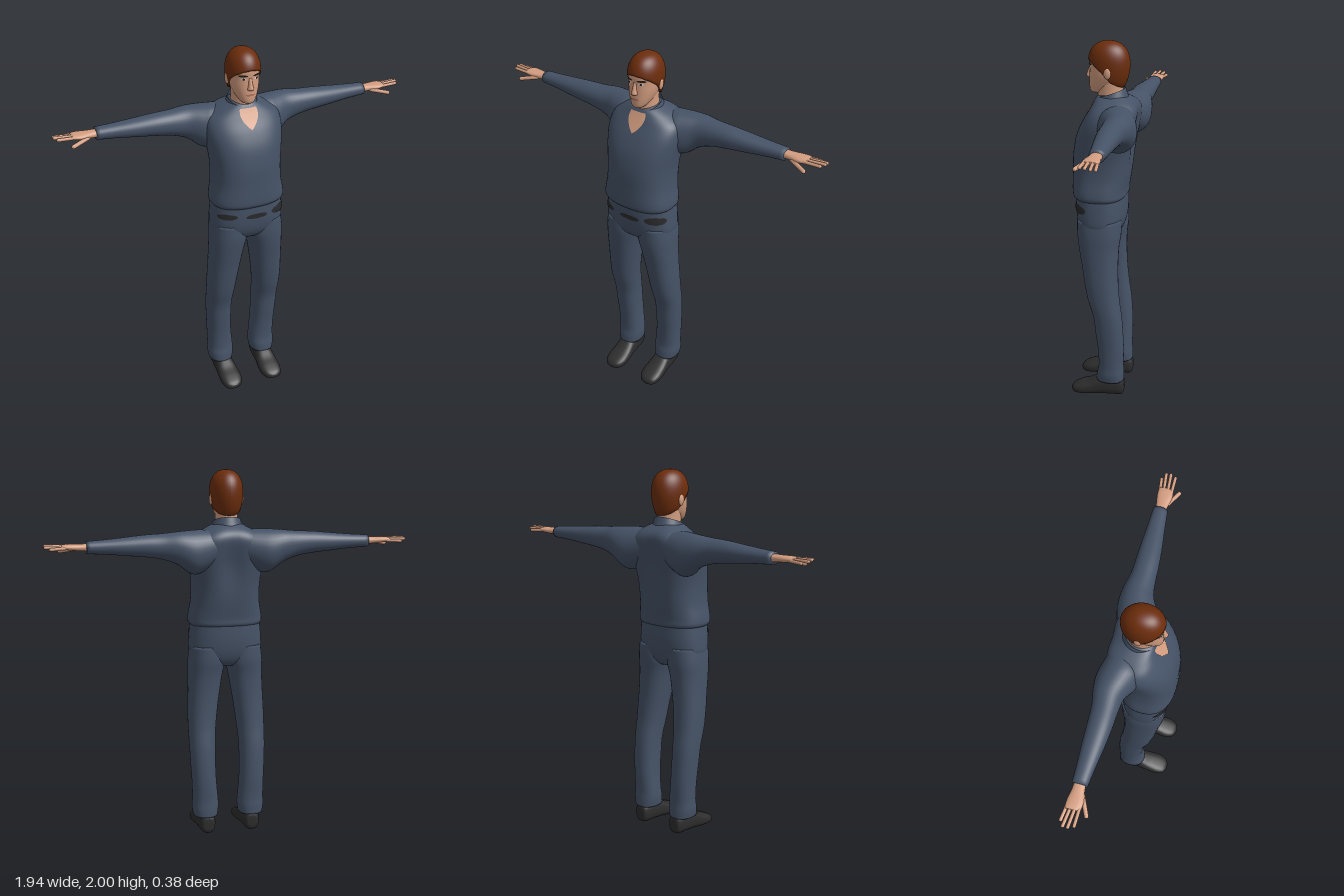
import * as THREE from 'three';

const mat = (name, color) => new THREE.MeshStandardMaterial({ name, color });
const doubled = (m) => { m.side = THREE.DoubleSide; return m; };

// Catmull-Rom refinement of section rows [t, aMin, aMax, bMin, bMax]
function refine(rows, steps = 4) {
  const out = [];
  for (let i = 0; i < rows.length - 1; i++) {
    const p = rows[Math.max(i - 1, 0)], q = rows[i], r = rows[i + 1], s = rows[Math.min(i + 2, rows.length - 1)];
    for (let k = 0; k < steps; k++) {
      const u = k / steps;
      out.push(q.map((b, j) => 0.5 * (2 * b + (r[j] - p[j]) * u + (2 * p[j] - 5 * b + 4 * r[j] - s[j]) * u * u
        + (3 * b - p[j] - 3 * r[j] + s[j]) * u * u * u)));
    }
  }
  out.push(rows[rows.length - 1]);
  return out;
}

// Section interpolated at height t
function sample(rows, t) {
  let i = 0;
  while (i < rows.length - 2 && rows[i + 1][0] < t) i++;
  const u = (t - rows[i][0]) / (rows[i + 1][0] - rows[i][0]);
  return rows[i].map((v, j) => v + (rows[i + 1][j] - v) * u);
}

// Point on a superellipse section
function around([t, a0, a1, b0, b1], angle, n, grow = 0) {
  const c = Math.cos(angle), s = Math.sin(angle);
  const a = (a0 + a1) / 2 + ((a1 - a0) / 2 + grow) * Math.sign(c) * Math.abs(c) ** (2 / n);
  const b = (b0 + b1) / 2 + ((b1 - b0) / 2 + grow) * Math.sign(s) * Math.abs(s) ** (2 / n);
  return [t, a, b];
}

const axes = {
  y: ([t, a, b]) => [a, t, b],
  x: ([t, a, b]) => [t, b, a],
  z: ([t, a, b]) => [a, b, t],
};

function buildGeometry(pos, idx) {
  const g = new THREE.BufferGeometry();
  g.setAttribute('position', new THREE.Float32BufferAttribute(pos, 3));
  g.setIndex(idx);
  g.computeVertexNormals();
  return g;
}

// Closed skin through the sections; corner order follows the signed volume
function loft(axis, rows, n = 2.2, seg = 32, warp = (p) => p) {
  const pos = [], idx = [];
  rows.forEach((r) => {
    for (let i = 0; i < seg; i++) pos.push(...warp(axes[axis](around(r, i / seg * Math.PI * 2, n))));
  });
  const last = rows.length - 1;
  [rows[0], rows[last]].forEach(([t, a0, a1, b0, b1]) => pos.push(...warp(axes[axis]([t, (a0 + a1) / 2, (b0 + b1) / 2]))));
  const c0 = rows.length * seg;
  for (let i = 0; i < seg; i++) {
    const j = (i + 1) % seg;
    for (let k = 0; k < last; k++) {
      const a = k * seg + i, b = k * seg + j;
      idx.push(a, a + seg, b, b, a + seg, b + seg);
    }
    idx.push(c0, i, j, c0 + 1, last * seg + j, last * seg + i);
  }
  const v = (i) => new THREE.Vector3(pos[i * 3], pos[i * 3 + 1] - 1, pos[i * 3 + 2]);
  let volume = 0;
  for (let i = 0; i < idx.length; i += 3) volume += v(idx[i]).dot(v(idx[i + 1]).cross(v(idx[i + 2])));
  if (volume < 0) idx.reverse();
  return buildGeometry(pos, idx);
}

// Open sheet from fn(u, v)
function sheet(nu, nv, fn) {
  const pos = [], idx = [];
  for (let j = 0; j <= nv; j++) for (let i = 0; i <= nu; i++) pos.push(...fn(i / nu, j / nv));
  for (let j = 0; j < nv; j++) for (let i = 0; i < nu; i++) {
    const a = j * (nu + 1) + i, b = a + nu + 1;
    idx.push(a, b, a + 1, a + 1, b, b + 1);
  }
  return buildGeometry(pos, idx);
}

const oval = (v) => Math.sqrt(Math.max(0, 1 - (2 * v - 1) ** 2));
const wedge = (v) => v;

// Painted patch that follows a lofted surface between two angles
function patch(rows, n, y0, y1, a0, a1, width, off) {
  return sheet(10, 10, (u, v) => {
    const y = y0 + (y1 - y0) * v, ang = (a0 + a1) / 2 + (a1 - a0) * (u - 0.5) * width(v);
    return axes.y(around(sample(rows, y), ang, n, off));
  });
}

// Front-facing angle of a given x on a section
function angleAt(rows, n, y, x) {
  const r = sample(rows, y);
  return Math.acos(Math.sign(x) * Math.min(1, Math.abs(x) / r[2]) ** (n / 2));
}

export function createModel() {
  const model = new THREE.Group();
  model.name = 'man';
  const cloth = doubled(mat('slate cloth', 0x455266));
  const skin = doubled(mat('skin', 0xd39d80));
  const hair = doubled(mat('auburn hair', 0x6c2d0c));
  const leather = mat('black leather', 0x2d2d2e);
  const dark = doubled(mat('dark brown', 0x2a1c16));
  const white = doubled(mat('eye white', 0xd8d4d0));
  const lip = doubled(mat('lips', 0xb0705e));
  const belt = doubled(mat('belt', 0x2b2b2d));
  const add = (name, geo, m) => {
    const mesh = new THREE.Mesh(geo, m);
    mesh.name = name;
    model.add(mesh);
    return mesh;
  };
  const sym = (list) => refine(list.map(([y, w, b, f]) => [y, -w, w, b, f])); // rows: y, half width, back, front

  // Shirt, with a hollow along the spine
  const torso = sym([[1.165, 0.18, -0.09, 0.16], [1.185, 0.2, -0.105, 0.183], [1.22, 0.2, -0.107, 0.188],
    [1.3, 0.186, -0.12, 0.187], [1.4, 0.185, -0.135, 0.185], [1.5, 0.198, -0.152, 0.168], [1.58, 0.208, -0.165, 0.135],
    [1.64, 0.195, -0.168, 0.1], [1.68, 0.145, -0.15, 0.078], [1.71, 0.09, -0.11, 0.062], [1.725, 0.06, -0.08, 0.04]]);
  add('shirt', loft('y', torso, 2.5, 48, ([x, y, z]) =>
    [x, y, z + (z < 0 ? 0.028 * Math.exp(-((x / 0.06) ** 2) - ((y - 1.52) / 0.14) ** 2) : 0)]), cloth);
  const vAngle = angleAt(torso, 2.5, 1.69, 0.05);
  add('openNeck', patch(torso, 2.5, 1.6, 1.7, vAngle, Math.PI - vAngle, wedge, 0.004), skin);

  // Collar: open band, low at the front and high at the back
  add('collar', sheet(40, 4, (u, v) => {
    const a = Math.PI / 2 + 0.5 + u * (Math.PI * 2 - 1), s = Math.sin(a);
    const r = 0.074 + 0.026 * (1 - v);
    return [Math.cos(a) * r, 1.66 + 0.072 * v - 0.026 * s, -0.008 + s * (r + 0.004)];
  }), cloth);

  // Trousers
  const hips = sym([[0.95, 0.1, -0.05, 0.09], [0.98, 0.17, -0.075, 0.13], [1.03, 0.198, -0.092, 0.156],
    [1.1, 0.198, -0.1, 0.168], [1.19, 0.19, -0.1, 0.17]]);
  add('trouserHips', loft('y', hips, 2.5, 40), cloth);
  [[0.3, 1.15, 1.1, 1.15], [1.3, 1.75, 1.105, 1.135], [1.98, 2.75, 1.11, 1.145]].forEach(([a0, a1, y0, y1]) =>
    add('beltPiece', patch(hips, 2.5, y0, y1, a0, a1, oval, 0.004), belt));

  const leg = [[1.06, 0.01, 0.195, -0.088, 0.15], [0.98, 0, 0.204, -0.088, 0.15], [0.9, 0.018, 0.205, -0.078, 0.14],
    [0.8, 0.035, 0.208, -0.075, 0.122], [0.7, 0.05, 0.212, -0.078, 0.106], [0.6, 0.062, 0.213, -0.086, 0.086],
    [0.5, 0.069, 0.211, -0.1, 0.056], [0.4, 0.07, 0.207, -0.108, 0.044], [0.3, 0.067, 0.202, -0.112, 0.032],
    [0.2, 0.058, 0.2, -0.11, 0.028], [0.15, 0.056, 0.202, -0.113, 0.036], [0.105, 0.062, 0.196, -0.114, 0.04]];
  const arm = [[0.06, -0.15, -0.02, 1.53, 1.685], [0.15, -0.178, 0.03, 1.47, 1.693], [0.21, -0.188, 0.015, 1.465, 1.692],
    [0.28, -0.18, -0.02, 1.515, 1.688], [0.36, -0.163, -0.03, 1.545, 1.68], [0.45, -0.158, -0.035, 1.56, 1.675],
    [0.55, -0.155, -0.045, 1.57, 1.666], [0.65, -0.15, -0.058, 1.58, 1.657], [0.755, -0.147, -0.07, 1.586, 1.65]];
  const palm = [[0.73, -0.138, -0.08, 1.598, 1.64], [0.78, -0.138, -0.076, 1.602, 1.638],
    [0.83, -0.146, -0.066, 1.606, 1.638], [0.865, -0.147, -0.068, 1.611, 1.637], [0.88, -0.14, -0.075, 1.616, 1.633]];
  const shoe = [[-0.115, 0.1, 0.15, 0.035, 0.095], [-0.1, 0.085, 0.165, 0.012, 0.12], [-0.04, 0.076, 0.174, 0.01, 0.125],
    [0.02, 0.072, 0.178, 0.006, 0.118], [0.08, 0.064, 0.183, 0.002, 0.085], [0.13, 0.063, 0.184, 0, 0.066],
    [0.17, 0.08, 0.17, 0.002, 0.047], [0.187, 0.11, 0.14, 0.012, 0.03]];
  // Finger root and tip; the thumb is last
  const fingers = [[[0.86, 1.62, -0.138], [0.935, 1.616, -0.148]], [[0.86, 1.624, -0.118], [0.962, 1.625, -0.13]],
    [[0.86, 1.626, -0.097], [0.963, 1.63, -0.105]], [[0.86, 1.625, -0.077], [0.95, 1.628, -0.078]],
    [[0.8, 1.612, -0.08], [0.885, 1.597, -0.04]]];

  for (const s of [1, -1]) {
    const side = s > 0 ? 'left' : 'right';
    const flip = ([x, y, z]) => [x * s, y, z];
    add(side + 'TrouserLeg', loft('y', refine(leg), 2.3, 32, flip), cloth);
    add(side + 'Sleeve', loft('x', refine(arm), 2.1, 32, flip), cloth);
    add(side + 'Palm', loft('x', refine(palm), 2.3, 20, flip), skin);
    add(side + 'Shoe', loft('z', refine(shoe), 2.6, 28, flip), leather);
    fingers.forEach(([p, q], i) => {
      const a = new THREE.Vector3(...flip(p)), b = new THREE.Vector3(...flip(q)), d = b.clone().sub(a);
      const f = add(side + (i === 4 ? 'Thumb' : 'Finger'), new THREE.CapsuleGeometry(i === 4 ? 0.011 : 0.0088, d.length(), 4, 10), skin);
      f.position.copy(a).addScaledVector(d, 0.5);
      f.quaternion.setFromUnitVectors(new THREE.Vector3(0, 1, 0), d.normalize());
    });
  }

  // Neck and face
  add('neck', loft('y', sym([[1.62, 0.066, -0.09, 0.045], [1.7, 0.061, -0.078, 0.058], [1.75, 0.059, -0.074, 0.06],
    [1.8, 0.06, -0.075, 0.06]]), 2), skin);
  const face = sym([[1.73, 0.022, 0.035, 0.09], [1.742, 0.038, 0.01, 0.1], [1.775, 0.058, -0.04, 0.103],
    [1.82, 0.073, -0.08, 0.102], [1.865, 0.078, -0.095, 0.1], [1.9, 0.08, -0.098, 0.102], [1.94, 0.074, -0.09, 0.092],
    [1.975, 0.045, -0.06, 0.055]]);
  add('face', loft('y', face, 2.2), skin);
  add('nose', loft('y', refine([[1.805, -0.011, 0.011, 0.085, 0.108], [1.814, -0.017, 0.017, 0.085, 0.121],
    [1.835, -0.012, 0.012, 0.085, 0.116], [1.87, -0.008, 0.008, 0.085, 0.104]]), 2, 16), skin);
  const feature = (name, x0, x1, y0, y1, m, off) => add(name, patch(face, 2.2, y0, y1,
    angleAt(face, 2.2, (y0 + y1) / 2, x0), angleAt(face, 2.2, (y0 + y1) / 2, x1), oval, off), m);
  feature('mouth', -0.024, 0.024, 1.777, 1.788, lip, 0.003);
  for (const s of [1, -1]) {
    feature('eye', s * 0.02, s * 0.046, 1.861, 1.873, white, 0.002);
    feature('iris', s * 0.028, s * 0.039, 1.861, 1.873, dark, 0.0035);
    feature('eyebrow', s * 0.014, s * 0.056, 1.878, 1.89, dark, 0.003);
    const ear = add('ear', new THREE.SphereGeometry(1, 14, 10), skin);
    ear.scale.set(0.01, 0.03, 0.019);
    ear.position.set(s * 0.084, 1.845, -0.008);
  }

  // Hair: dome whose lower edge drops from the forehead to the nape, then tucks in
  const edge = [1.912, 1.905, 1.885, 1.85, 1.795, 1.775, 1.765, 1.762];
  add('hair', sheet(56, 18, (u, v) => {
    const a = (u - 0.5) * Math.PI * 2, k = Math.abs(u - 0.5) * 14, i = Math.min(6, Math.floor(k));
    const low = edge[i] + (edge[i + 1] - edge[i]) * (k - i), t = Math.min(1, v / 0.94);
    const y = 2 - (2 - low) * t * t;
    const h = Math.min(1, (y - 1.88) / 0.12);
    const r = (h > 0 ? (1 - h ** 2.3) ** (1 / 2.3) : 1 - 0.27 * h * h) * (v > 0.95 ? 0.84 : 1);
    return [Math.sin(a) * 0.089 * r, y, Math.cos(a) * 0.111 * r];
  }), hair);

  return model;
}
